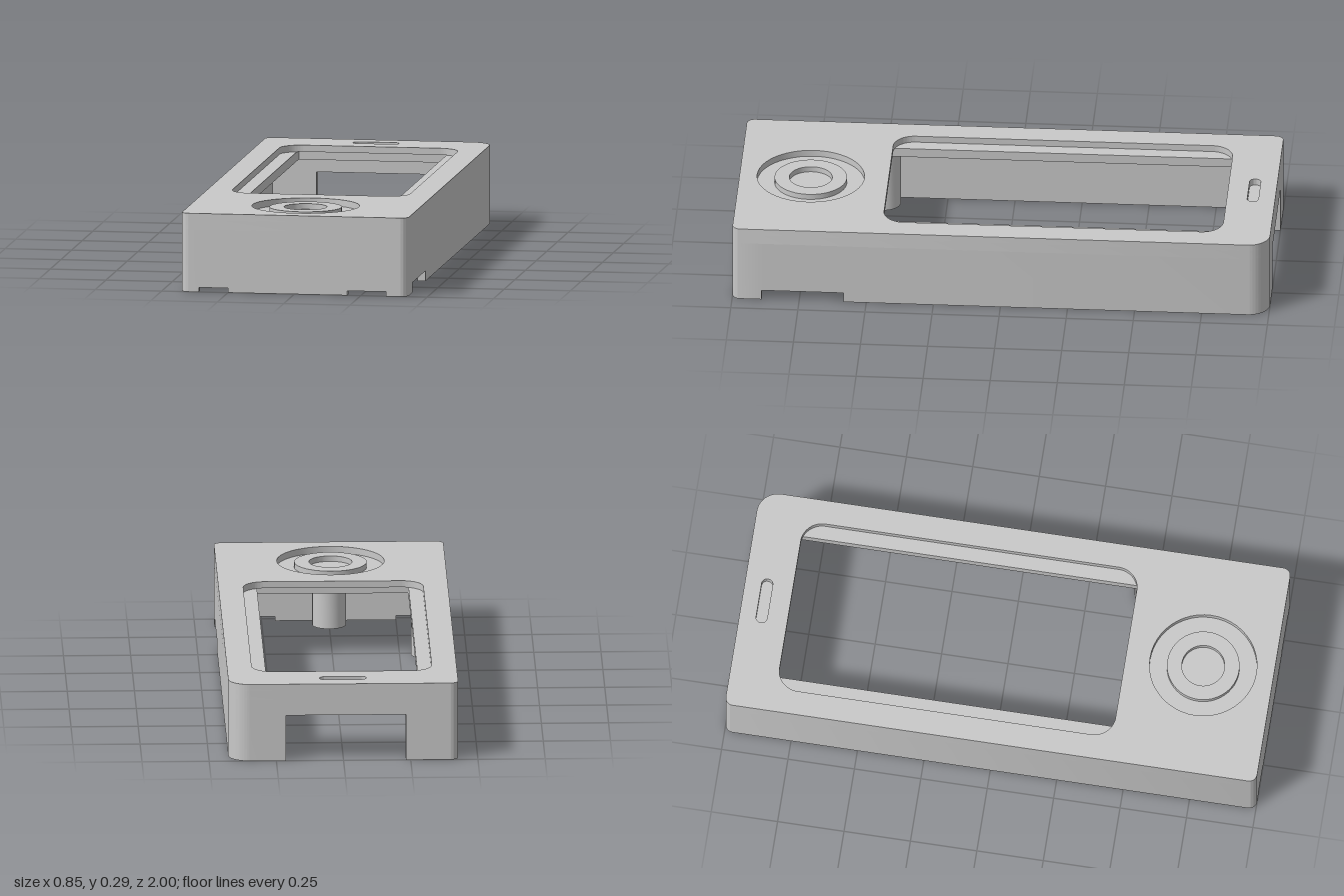
import * as THREE from 'three';
import { toCreasedNormals } from 'three/addons/utils/BufferGeometryUtils.js';

const W = 0.427, L = 1;              // half width and half length
const R = 0.08, r = 0.03;            // large corner (back right) and small corners
const T = 0.03, TB = 0.04;           // side/front and back wall thickness
const Y_IN = 0.235, Y_MID = 0.27, Y_TOP = 0.295;
const H = Math.PI / 2;

// Plan shapes are drawn with v = -z, so up on the plan is the back.
function plate(shape, y0, y1) {
  const g = new THREE.ExtrudeGeometry(shape, { depth: y1 - y0, bevelEnabled: false, curveSegments: 24 });
  g.rotateX(-H);
  g.translate(0, y0, 0);
  return toCreasedNormals(g, 0.6);
}

// Counterclockwise rectangle, one radius per corner: back right, front right, front left, back left
function roundRect(path, x0, x1, v0, v1, [a, b, c, d]) {
  path.moveTo(x1 - a, v1);
  path.lineTo(x0 + d, v1);
  if (d) path.absarc(x0 + d, v1 - d, d, H, 2 * H, false);
  path.lineTo(x0, v0 + c);
  if (c) path.absarc(x0 + c, v0 + c, c, 2 * H, 3 * H, false);
  path.lineTo(x1 - b, v0);
  if (b) path.absarc(x1 - b, v0 + b, b, -H, 0, false);
  path.lineTo(x1, v1 - a);
  if (a) path.absarc(x1 - a, v1 - a, a, 0, H, false);
  path.closePath();
  return path;
}

const circle = (path, x, v, rad) => path.absarc(x, v, rad, 0, Math.PI * 2, false);
const outline = () => roundRect(new THREE.Shape(), -W, W, -L, L, [R, r, r, r]);
const rect = (x0, x1, v0, v1) => roundRect(new THREE.Shape(), x0, x1, v0, v1, [0, 0, 0, 0]);

export function createModel() {
  const model = new THREE.Group();
  model.name = 'enclosureTop';
  const grey = new THREE.MeshStandardMaterial({ color: 0xc9c9c9 });
  grey.name = 'grey plastic';
  const add = (name, geometry, parent = model) => {
    const m = new THREE.Mesh(geometry, grey);
    m.name = name;
    parent.add(m);
    return m;
  };

  // Walls, split at the cut-outs along the lower rim
  const walls = new THREE.Group();
  walls.name = 'walls';
  model.add(walls);
  const b0 = -0.232, b1 = 0.214;                // back opening
  const rz0 = 0.585, rz1 = 0.89;                // right notch
  const fr0 = 0.199, fr1 = 0.345, fl0 = -0.36, fl1 = -0.25; // front notches

  const backRight = new THREE.Shape();
  backRight.moveTo(b1, L);
  backRight.lineTo(W - R, L);
  backRight.absarc(W - R, L - R, R, H, 0, true);
  backRight.lineTo(W, -rz0);
  backRight.lineTo(W - T, -rz0);
  backRight.lineTo(W - T, L - TB);
  backRight.lineTo(b1, L - TB);
  add('backRightWall', plate(backRight, 0, Y_IN), walls);

  const frontRight = new THREE.Shape();
  frontRight.moveTo(W, -rz1);
  frontRight.lineTo(W, -L + r);
  frontRight.absarc(W - r, -L + r, r, 0, -H, true);
  frontRight.lineTo(fr1, -L);
  frontRight.lineTo(fr1, -L + T);
  frontRight.lineTo(W - T, -L + T);
  frontRight.lineTo(W - T, -rz1);
  add('frontRightWall', plate(frontRight, 0, Y_IN), walls);

  const left = new THREE.Shape();
  left.moveTo(fl0, -L);
  left.lineTo(-W + r, -L);
  left.absarc(-W + r, -L + r, r, -H, -2 * H, true);
  left.lineTo(-W, L - r);
  left.absarc(-W + r, L - r, r, 2 * H, H, true);
  left.lineTo(b0, L);
  left.lineTo(b0, L - TB);
  left.lineTo(-W + T, L - TB);
  left.lineTo(-W + T, -L + T);
  left.lineTo(fl0, -L + T);
  add('leftWall', plate(left, 0, Y_IN), walls);

  add('frontWall', plate(rect(fl1, fr0, -L, -L + T), 0, Y_IN), walls);
  add('frontLeftNotchTop', plate(rect(fl0, fl1, -L, -L + T), 0.017, Y_IN), walls);
  add('frontRightNotchTop', plate(rect(fr0, fr1, -L, -L + T), 0.017, Y_IN), walls);
  add('rightNotchTop', plate(rect(W - T, W, -rz1, -rz0), 0.038, Y_IN), walls);
  add('backLintel', plate(rect(b0, b1, L - TB, L), 0.175, Y_IN), walls);

  // Inner layer of the top, with the screen seat opening
  const seat = outline();
  seat.holes.push(roundRect(new THREE.Path(), -0.282, 0.282, -0.49, 0.86, [0, 0, 0, 0]));
  add('screenSeat', plate(seat, Y_IN, Y_MID));

  // Outer layer with window, dial recess and slot
  const face = outline();
  face.holes.push(
    roundRect(new THREE.Path(), -0.335, 0.335, -0.445, 0.82, [0.08, 0.08, 0.08, 0.08]),
    circle(new THREE.Path(), 0, -0.735, 0.2),
    roundRect(new THREE.Path(), -0.087, 0.087, 0.896, 0.938, [0.02, 0.02, 0.02, 0.02])
  );
  add('topFace', plate(face, Y_MID, Y_TOP));

  // Raised ring inside the dial recess
  const ring = circle(new THREE.Shape(), 0, -0.735, 0.135);
  ring.holes.push(circle(new THREE.Path(), 0, -0.735, 0.08));
  add('dialRing', plate(ring, Y_MID, Y_TOP - 0.004));

  // Hollow screw posts with a counterbore
  const profile = [[0, 0.15], [0.038, 0.15], [0.038, 0.02], [0.05, 0.02], [0.05, 0], [0.063, 0], [0.063, Y_IN]]
    .map(([x, y]) => new THREE.Vector2(x, y));
  const post = toCreasedNormals(new THREE.LatheGeometry(profile, 32), 0.6);
  for (const [x, z] of [[-0.355, 0.485], [0.355, 0.485], [0, 0.912]]) {
    add('screwPost', post).position.set(x, 0, z);
  }
  return model;
}
